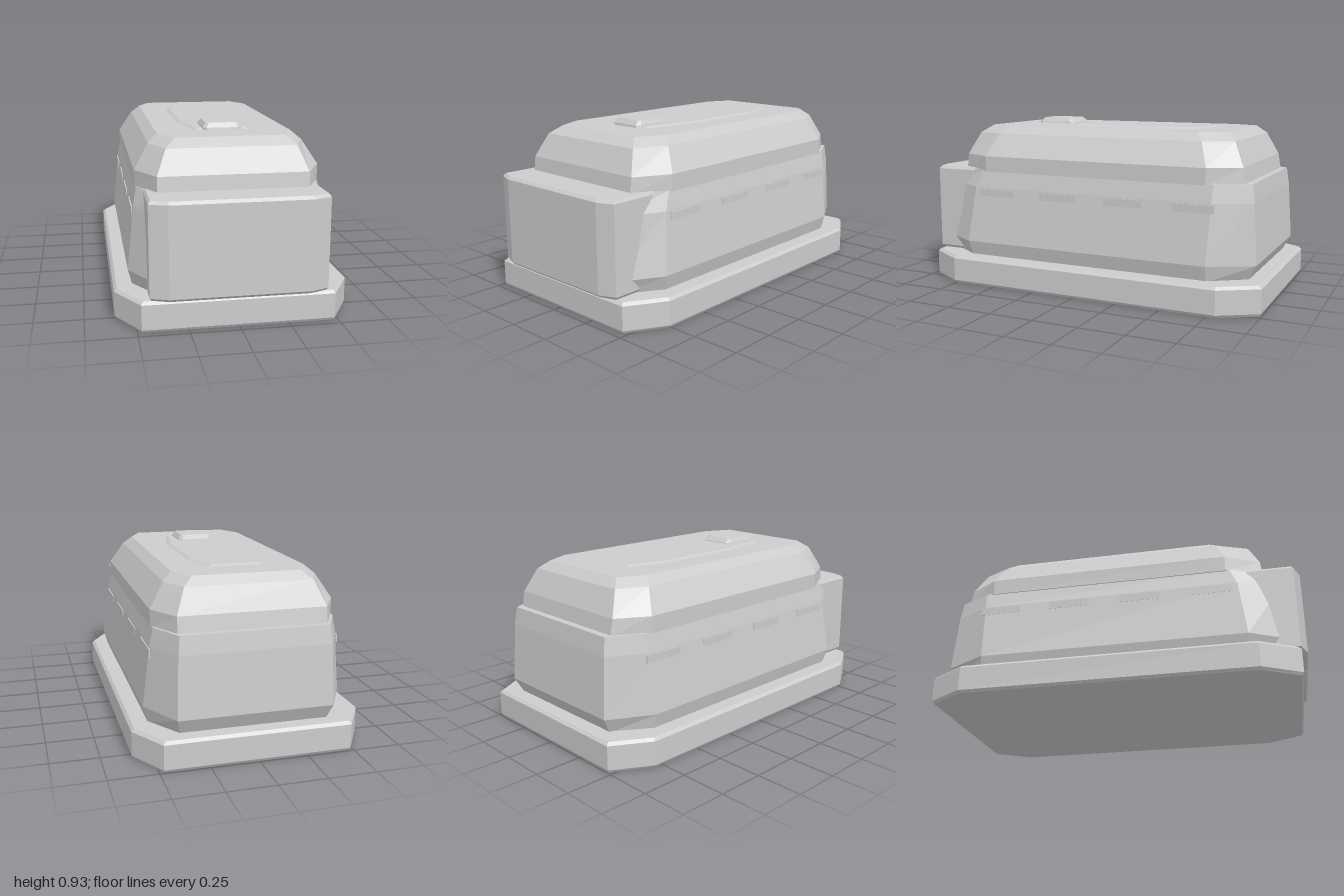
import * as THREE from 'three';

// Eight-sided ring: half width, corner half width, front z, front corner z, back corner z, back z
function ring(y, hx, cx, zF, czF, czB, zB) {
  const right = [[hx, czF], [hx, czB], [cx, zB]];
  const left = [[-cx, zB], [-hx, czB], [-hx, czF]];
  return [...right, ...left, [-cx, zF], [cx, zF]].map(([x, z]) => new THREE.Vector3(x, y, z));
}

// Closed solid through a stack of rings, bottom to top, with flat faces
function loft(name, material, levels) {
  const rings = levels.map((l) => ring(...l));
  const points = [];
  const n = 8;
  for (let k = 0; k < rings.length - 1; k++) {
    const a = rings[k], b = rings[k + 1];
    for (let i = 0; i < n; i++) {
      const j = (i + 1) % n;
      points.push(a[i], a[j], b[j], a[i], b[j], b[i]);
    }
  }
  const bottom = rings[0], top = rings[rings.length - 1];
  for (let i = 1; i < n - 1; i++) {
    points.push(bottom[0], bottom[i + 1], bottom[i]);
    points.push(top[0], top[i], top[i + 1]);
  }
  const geometry = new THREE.BufferGeometry().setFromPoints(points);
  geometry.computeVertexNormals();
  const mesh = new THREE.Mesh(geometry, material);
  mesh.name = name;
  return mesh;
}

export function createModel() {
  const model = new THREE.Group();
  model.name = 'casing';
  const grey = new THREE.MeshStandardMaterial({ color: 0xcccccc });
  grey.name = 'light grey';

  // Base plinth with bevelled rims
  model.add(loft('base', grey, [
    [0, 0.59, 0.475, 0.955, 0.755, -0.795, -0.99],
    [0.015, 0.6, 0.48, 0.965, 0.76, -0.8, -1],
    [0.142, 0.6, 0.48, 0.965, 0.76, -0.8, -1],
    [0.157, 0.585, 0.47, 0.95, 0.755, -0.795, -0.985],
  ]));

  // Main body, undercut at the foot and tapering upwards
  model.add(loft('body', grey, [
    [0.15, 0.503, 0.38, 0.89, 0.69, -0.72, -0.905],
    [0.235, 0.525, 0.4, 0.935, 0.71, -0.72, -0.95],
    [0.55, 0.49, 0.39, 0.89, 0.67, -0.735, -0.93],
    [0.645, 0.47, 0.38, 0.86, 0.63, -0.74, -0.917],
  ]));

  // Domed lid
  model.add(loft('lid', grey, [
    [0.638, 0.477, 0.38, 0.805, 0.61, -0.7, -0.88],
    [0.725, 0.477, 0.38, 0.795, 0.61, -0.7, -0.865],
    [0.85, 0.4, 0.33, 0.735, 0.56, -0.65, -0.805],
    [0.893, 0.35, 0.28, 0.675, 0.52, -0.61, -0.755],
  ]));

  // Front box
  model.add(loft('frontBox', grey, [
    [0.16, 0.43, 0.345, 0.985, 0.955, 0.62, 0.58],
    [0.175, 0.441, 0.35, 1, 0.965, 0.62, 0.58],
    [0.635, 0.441, 0.35, 1, 0.965, 0.62, 0.58],
    [0.65, 0.43, 0.345, 0.985, 0.955, 0.62, 0.58],
  ]));

  // Shallow raised panel on the lid
  model.add(loft('topPanel', grey, [
    [0.885, 0.2, 0.15, 0.46, 0.16, -0.36, -0.57],
    [0.893, 0.2, 0.15, 0.46, 0.16, -0.36, -0.57],
    [0.902, 0.183, 0.137, 0.445, 0.16, -0.355, -0.55],
  ].map(([y, hx, cx, zF, czF, czB, zB]) => [y, hx, cx * 0.95, zF, czF, czB, zB])));

  // Button
  model.add(loft('button', grey, [
    [0.89, 0.105, 0.085, 0.478, 0.455, 0.263, 0.24],
    [0.906, 0.102, 0.083, 0.475, 0.453, 0.265, 0.243],
    [0.93, 0.085, 0.07, 0.455, 0.442, 0.285, 0.272],
  ]));

  // Nearly flush side slats
  for (const side of [1, -1]) {
    for (let i = 0; i < 4; i++) {
      const slat = new THREE.Mesh(new THREE.BoxGeometry(0.009, 0.042, 0.22), grey);
      slat.position.set(side * 0.4925, 0.52, 0.53 - i * 0.39);
      slat.name = side > 0 ? 'leftSlat' : 'rightSlat';
      model.add(slat);
    }
  }
  return model;
}
